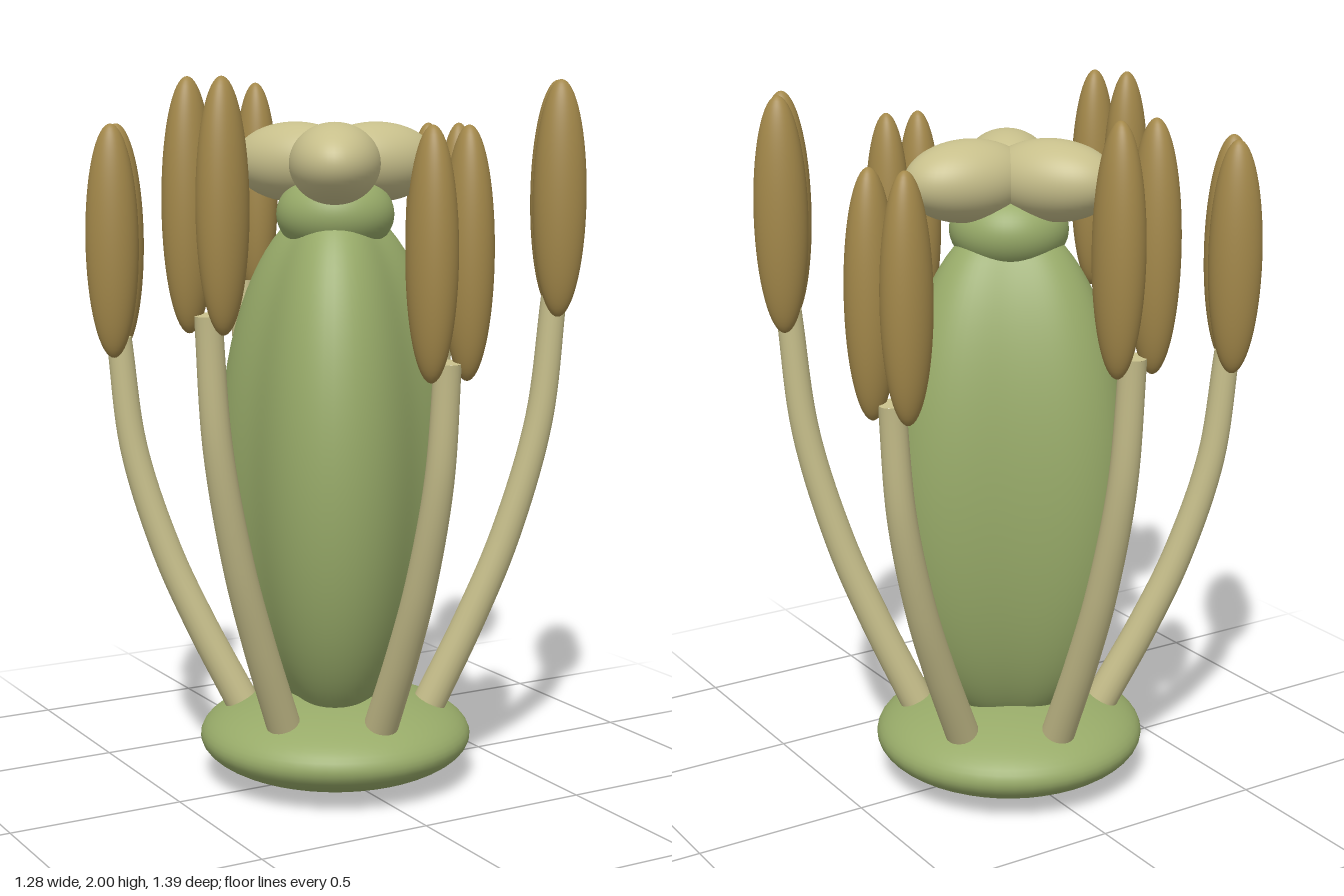
import * as THREE from 'three';
import { mergeVertices } from 'three/addons/utils/BufferGeometryUtils.js';

const material = (name, color) => {
  const m = new THREE.MeshStandardMaterial({ color });
  m.name = name;
  return m;
};

function addMesh(parent, name, geometry, mat) {
  const mesh = new THREE.Mesh(geometry, mat);
  mesh.name = name;
  parent.add(mesh);
  return mesh;
}

function ellipsoid(parent, name, mat, radii, position) {
  const mesh = addMesh(parent, name, new THREE.SphereGeometry(1, 48, 32), mat);
  mesh.scale.set(...radii);
  mesh.position.set(...position);
  return mesh;
}

// Ellipsoid whose outline swells into three lobes, one of them towards +x
function lobedBody(radius, lobe, halfHeight) {
  let geo = new THREE.SphereGeometry(1, 72, 40);
  geo.deleteAttribute('uv');
  geo.deleteAttribute('normal');
  geo = mergeVertices(geo);
  const p = geo.attributes.position;
  for (let i = 0; i < p.count; i++) {
    const r = radius + lobe * Math.cos(3 * Math.atan2(p.getZ(i), p.getX(i)));
    p.setXYZ(i, p.getX(i) * r, p.getY(i) * halfHeight, p.getZ(i) * r);
  }
  geo.computeVertexNormals();
  return geo;
}

// Tube along a curve, narrowing from r0 to r1
function taperedTube(curve, r0, r1, rings = 32, sides = 20) {
  const geo = new THREE.TubeGeometry(curve, rings, 1, sides, false);
  const p = geo.attributes.position, v = new THREE.Vector3();
  for (let i = 0; i < p.count; i++) {
    const t = Math.floor(i / (sides + 1)) / rings;
    const c = curve.getPointAt(t);
    v.fromBufferAttribute(p, i).sub(c).multiplyScalar(r0 + (r1 - r0) * t).add(c);
    p.setXYZ(i, v.x, v.y, v.z);
  }
  return geo;
}

export function createModel() {
  const model = new THREE.Group();
  model.name = 'flowerCentre';
  const green = material('leaf green', 0x98ab69);
  const cream = material('pale cream', 0xc7bf8b);
  const brown = material('pollen brown', 0xa3884a);

  // Receptacle and pistil
  ellipsoid(model, 'receptacle', green, [0.39, 0.13, 0.39], [0, 0.135, 0]);
  addMesh(model, 'ovary', lobedBody(0.315, 0.045, 0.75), green).position.y = 0.92;
  ellipsoid(model, 'style', green, [0.165, 0.12, 0.165], [0, 1.63, 0]);

  // Three stigma lobes meeting in the middle
  for (let k = 0; k < 3; k++) {
    const a = (k * 2 * Math.PI) / 3;
    const lobe = ellipsoid(model, 'stigmaLobe', cream, [0.19, 0.112, 0.125],
      [0.13 * Math.cos(a), 1.773, 0.13 * Math.sin(a)]);
    lobe.rotation.y = -a;
  }

  // Six stamens, alternately tall and short
  const radii = [0.048, 0.036];
  for (let k = 0; k < 6; k++) {
    const drop = k % 2 ? 0.12 : 0;
    const stretch = (1.17 - drop) / 1.17;
    const stamen = new THREE.Group();
    stamen.name = 'stamen';
    stamen.rotation.y = -THREE.MathUtils.degToRad(31.5 + 60 * k);
    model.add(stamen);

    const curve = new THREE.CatmullRomCurve3(
      [[0.275, 0.23], [0.39, 0.48], [0.485, 0.72], [0.575, 1.05], [0.612, 1.4]]
        .map(([x, y]) => new THREE.Vector3(x, 0.23 + (y - 0.23) * stretch, 0)));
    addMesh(stamen, 'filament', taperedTube(curve, ...radii), cream);

    // Flat ends of the filament
    for (const t of [0, 1]) {
      const cap = addMesh(stamen, 'filamentEnd', new THREE.CircleGeometry(radii[t], 20), cream);
      const dir = curve.getTangentAt(t).multiplyScalar(t ? 1 : -1);
      cap.quaternion.setFromUnitVectors(new THREE.Vector3(0, 0, 1), dir);
      cap.position.copy(curve.getPointAt(t));
    }

    // Paired pollen sacs
    for (const side of [-1, 1]) {
      ellipsoid(stamen, 'anther', brown, [0.074, 0.325, 0.065], [0.619, 1.675 - drop, side * 0.053]);
    }
  }
  return model;
}
